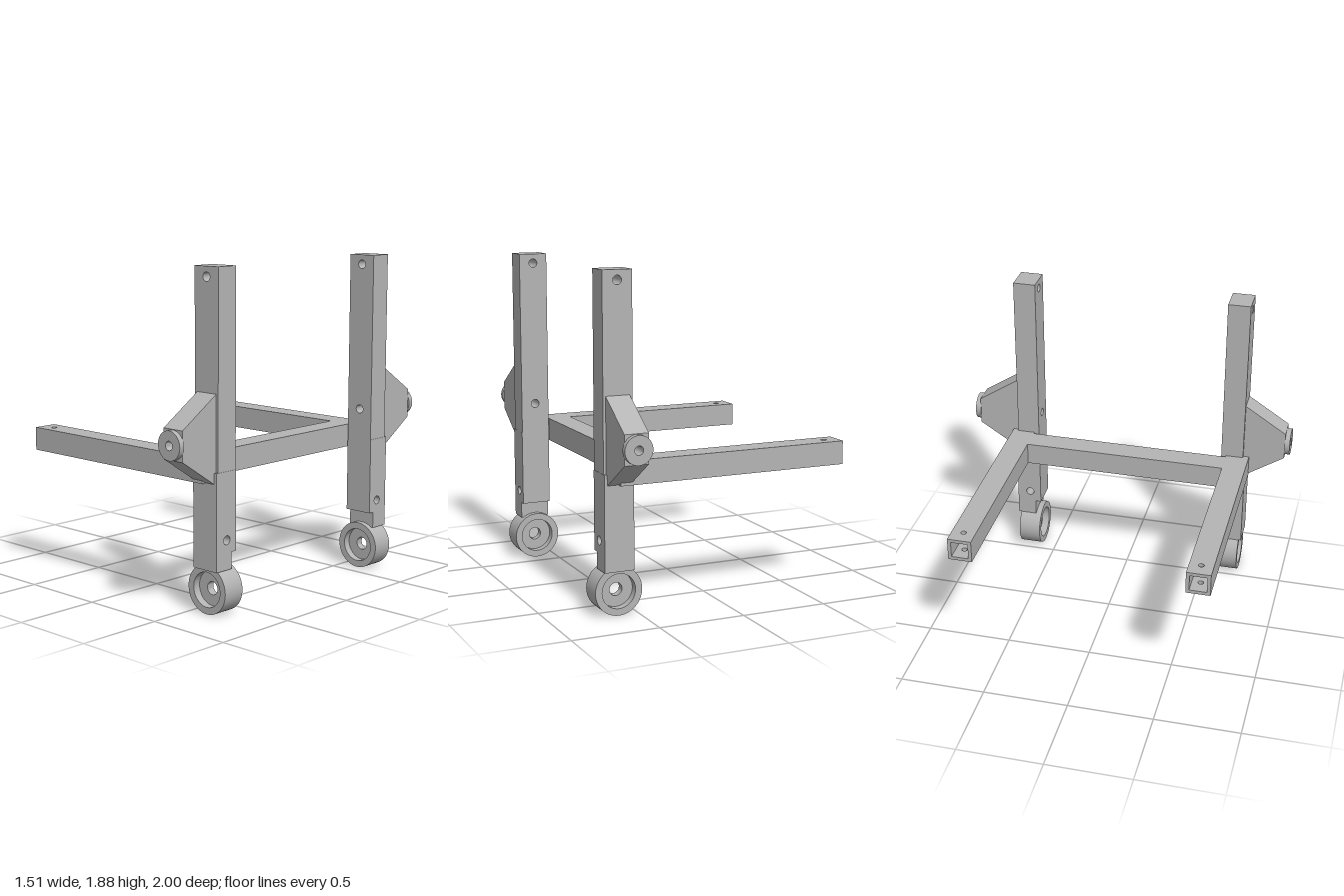
import * as THREE from 'three';
import { toCreasedNormals } from 'three/addons/utils/BufferGeometryUtils.js';

const AXLE_X = 0.615;   // shared centre line of post, wheel and bracket
const HUB_Y = 0.965;    // height of the side hub

// Polygon with round holes [x, y, radius]
function outline(points, holes = []) {
  const shape = new THREE.Shape(points.map(([x, y]) => new THREE.Vector2(x, y)));
  for (const [x, y, r] of holes) {
    shape.holes.push(new THREE.Path().absarc(x, y, r, 0, Math.PI * 2, true));
  }
  return shape;
}

const rect = (x0, y0, x1, y1) => [[x0, y0], [x1, y0], [x1, y1], [x0, y1]];

function extrude(shape, depth) {
  return new THREE.ExtrudeGeometry(shape, { depth, bevelEnabled: false, curveSegments: 24 });
}

// Ring turned about the z axis from a closed [radius, z] profile
function turned(profile, y) {
  const points = [...profile, profile[0]].map(([r, z]) => new THREE.Vector2(r, z));
  return toCreasedNormals(new THREE.LatheGeometry(points, 48), 0.6)
    .rotateX(Math.PI / 2).translate(AXLE_X, y, 0);
}

function box(x0, x1, y0, y1, z0, z1) {
  return new THREE.BoxGeometry(x1 - x0, y1 - y0, z1 - z0)
    .translate((x0 + x1) / 2, (y0 + y1) / 2, (z0 + z1) / 2);
}

// Mirror in z and restore the corner order
function mirrored(geometry) {
  const g = geometry.index ? geometry.toNonIndexed() : geometry.clone();
  g.scale(1, 1, -1);
  for (const attribute of Object.values(g.attributes)) {
    const n = attribute.itemSize, a = attribute.array;
    for (let i = 0; i < a.length; i += 3 * n) {
      for (let k = 0; k < n; k++) {
        [a[i + n + k], a[i + 2 * n + k]] = [a[i + 2 * n + k], a[i + n + k]];
      }
    }
  }
  return g;
}

function sideParts() {
  const parts = {};

  // Upright post with bolt holes through the front
  parts.post = extrude(outline(rect(0.53, 0.79, 0.70, 1.875),
    [[AXLE_X, 1.82, 0.025], [AXLE_X, HUB_Y, 0.025]]), 0.135).translate(0, 0, 0.585);

  // Thicker post foot, notched on the inside, with a cross hole
  const foot = [[-0.735, 0.25], [-0.62, 0.25], [-0.62, 0.345], [-0.585, 0.345],
    [-0.585, 0.79], [-0.735, 0.79]];
  parts.postFoot = extrude(outline(foot, [[-0.655, 0.415, 0.025]]), 0.172)
    .rotateY(Math.PI / 2).translate(0.53, 0, 0);

  // Wheel, recessed on both faces around a drilled web
  parts.wheel = turned([[0.137, 0.585], [0.137, 0.72], [0.098, 0.72], [0.098, 0.675],
    [0.037, 0.675], [0.037, 0.63], [0.098, 0.63], [0.098, 0.585]], 0.137);

  // Bracket: a drilled block whose outer end is tapered in height
  const bracket = extrude(outline(rect(0.547, HUB_Y - 0.245, 0.685, HUB_Y + 0.245),
    [[AXLE_X, HUB_Y, 0.025]]), 0.25).translate(0, 0, 0.72);
  const p = bracket.attributes.position;
  for (let i = 0; i < p.count; i++) {
    const dy = p.getY(i) - HUB_Y;
    if (p.getZ(i) > 0.9 && Math.abs(dy) > 0.1) p.setY(i, HUB_Y + Math.sign(dy) * 0.083);
  }
  bracket.computeVertexNormals();
  parts.bracket = bracket;

  // Round hub on the end of the bracket
  parts.hub = turned([[0.08, 0.968], [0.08, 1], [0.025, 1], [0.025, 0.968]], HUB_Y);

  // Hollow square arm: drilled top and bottom walls, plain side walls
  const wall = 0.02, x0 = -0.755, x1 = 0.615, z0 = 0.615, z1 = 0.755;
  const drilled = outline(rect(x0, -z1, x1, -z0), [[-0.67, -0.685, 0.016]]);
  for (const [name, y] of [['armTop', 0.86 - wall], ['armBottom', 0.725]]) {
    parts[name] = extrude(drilled, wall).rotateX(-Math.PI / 2).translate(0, y, 0);
  }
  parts.armInnerWall = box(x0, x1, 0.725 + wall, 0.86 - wall, z0, z0 + wall);
  parts.armOuterWall = box(x0, x1, 0.725 + wall, 0.86 - wall, z1 - wall, z1);
  return parts;
}

export function createModel() {
  const steel = new THREE.MeshStandardMaterial({ color: 0xb4b4b4 });
  steel.name = 'greySteel';

  const model = new THREE.Group();
  model.name = 'wheeledFrame';
  const front = new THREE.Group();
  front.name = 'frontSide';
  const back = new THREE.Group();
  back.name = 'backSide';
  model.add(front, back);

  const add = (group, name, geometry) => {
    const mesh = new THREE.Mesh(geometry, steel);
    mesh.name = name;
    group.add(mesh);
  };

  for (const [name, geometry] of Object.entries(sideParts())) {
    add(front, name, geometry);
    add(back, name, mirrored(geometry));
  }

  // Beam joining the two arms
  add(model, 'crossBeam', box(0.375, 0.515, 0.725, 0.86, -0.615, 0.615));
  return model;
}
